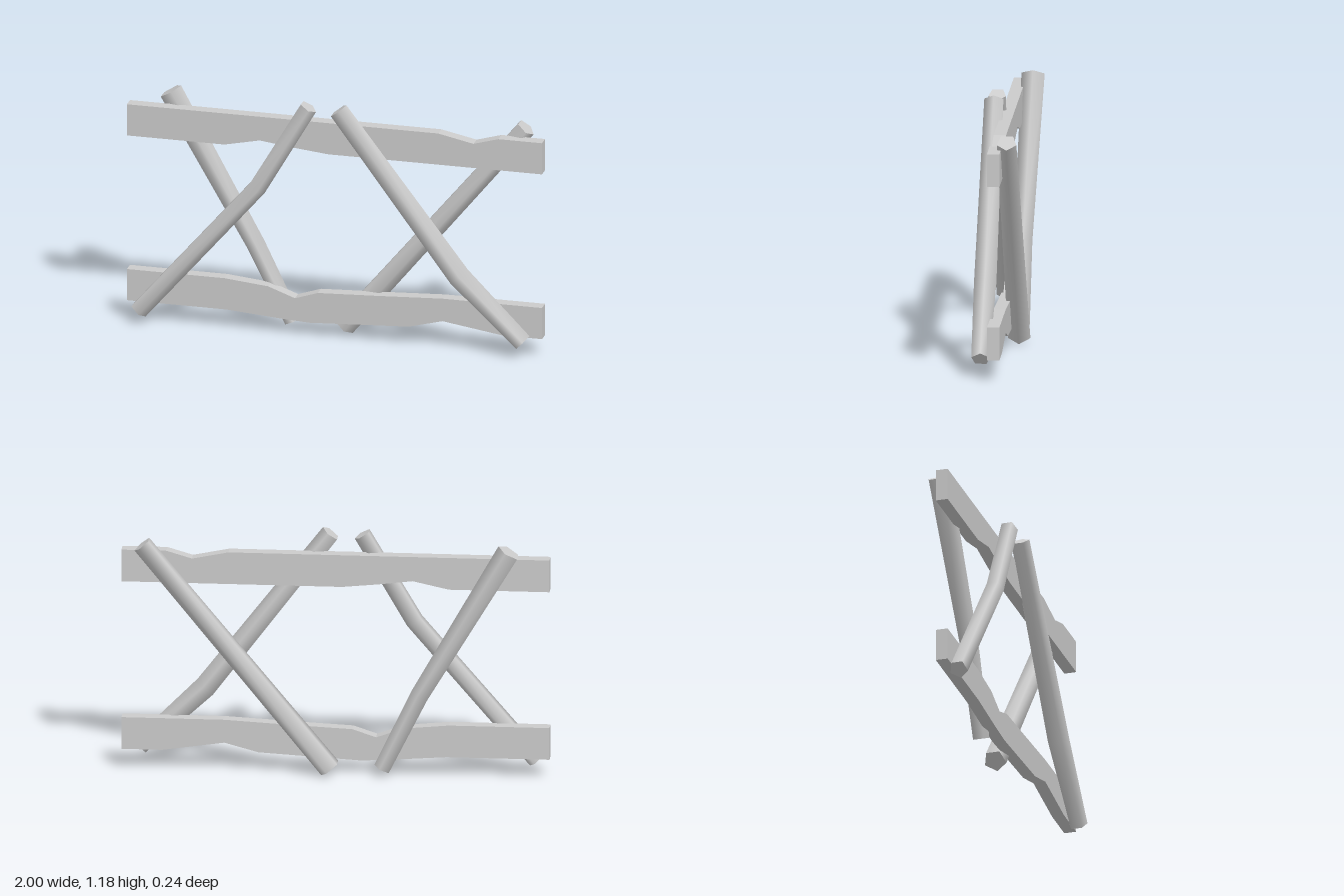
import * as THREE from 'three';

const SIDES = 5;
const material = new THREE.MeshStandardMaterial({ color: 0xcccccc });

// Five-sided pole through stations [x, y, z, radius], smooth along its sides with flat end caps
function pole(name, stations) {
  const points = stations.map(([x, y, z]) => new THREE.Vector3(x, y, z));
  const pos = [], index = [], rings = [];
  const last = points.length - 1;
  points.forEach((p, i) => {
    const into = points[i].clone().sub(points[Math.max(i - 1, 0)]).normalize();
    const out = points[Math.min(i + 1, last)].clone().sub(points[i]).normalize();
    const axis = into.add(out).normalize();
    // one corner of the section points towards +x, square to the axis
    const u = new THREE.Vector3(1, 0, 0).addScaledVector(axis, -axis.x).normalize();
    const v = new THREE.Vector3().crossVectors(axis, u);
    const ring = [];
    for (let k = 0; k < SIDES; k++) {
      const a = (k / SIDES) * Math.PI * 2;
      ring.push(p.clone()
        .addScaledVector(u, Math.cos(a) * stations[i][3])
        .addScaledVector(v, Math.sin(a) * stations[i][3]));
    }
    rings.push(ring);
    ring.forEach((q) => pos.push(q.x, q.y, q.z));
  });
  for (let i = 0; i < last; i++) {
    for (let k = 0; k < SIDES; k++) {
      const a = i * SIDES + k, b = i * SIDES + (k + 1) % SIDES;
      index.push(a, b, b + SIDES, a, b + SIDES, a + SIDES);
    }
  }
  // end caps have their own vertices so the rims stay sharp
  [rings[0].slice().reverse(), rings[last]].forEach((ring) => {
    const base = pos.length / 3;
    ring.forEach((q) => pos.push(q.x, q.y, q.z));
    for (let k = 1; k < SIDES - 1; k++) index.push(base, base + k, base + k + 1);
  });
  const geometry = new THREE.BufferGeometry();
  geometry.setAttribute('position', new THREE.Float32BufferAttribute(pos, 3));
  geometry.setIndex(index);
  geometry.computeVertexNormals();
  const mesh = new THREE.Mesh(geometry, material);
  mesh.name = name;
  return mesh;
}

// Flat plank cut from an outline
function plank(name, outline) {
  const shape = new THREE.Shape(outline.map(([x, y]) => new THREE.Vector2(x, y)));
  const geometry = new THREE.ExtrudeGeometry(shape, { depth: 0.058, bevelEnabled: false });
  geometry.translate(0, 0, -0.024);
  const mesh = new THREE.Mesh(geometry, material);
  mesh.name = name;
  return mesh;
}

export function createModel() {
  const fence = new THREE.Group();
  fence.name = 'fence';

  // Horizontal planks with worn notches
  fence.add(plank('upperPlank', [
    [-1, 0.92], [-0.53, 0.92], [-0.36, 0.957], [-0.2, 0.937], [-0.03, 0.92], [1, 0.92],
    [1, 1.075], [0.79, 1.075], [0.67, 1.04], [0.5, 1.075], [-1, 1.075],
  ]));
  fence.add(plank('lowerPlank', [
    [-1, 0.1], [-0.52, 0.1], [-0.25, 0.08], [-0.12, 0.073], [0.36, 0.1], [0.52, 0.143],
    [0.81, 0.1], [1, 0.1], [1, 0.255], [0.52, 0.255], [0.2, 0.238], [-0.08, 0.225],
    [-0.19, 0.188], [-0.32, 0.235], [-0.53, 0.255], [-1, 0.255],
  ]));

  // Crossed poles in front of and behind the planks
  fence.add(pole('frontRightPole', [
    [-0.935, 0.07, 0.067, 0.045], [-0.365, 0.735, 0.062, 0.045], [-0.12, 1.155, 0.056, 0.043],
  ]));
  fence.add(pole('frontLeftPole', [
    [0.918, 0.09, 0.069, 0.045], [0.61, 0.388, 0.066, 0.055], [0.028, 1.155, 0.062, 0.047],
  ]));
  fence.add(pole('backRightPole', [
    [-0.222, 0.045, -0.05, 0.042], [-0.4, 0.41, -0.047, 0.046], [-0.815, 1.125, -0.068, 0.057],
  ]));
  fence.add(pole('backLeftPole', [
    [0.022, 0.042, -0.056, 0.055], [0.9, 1.112, -0.052, 0.048],
  ]));
  return fence;
}
